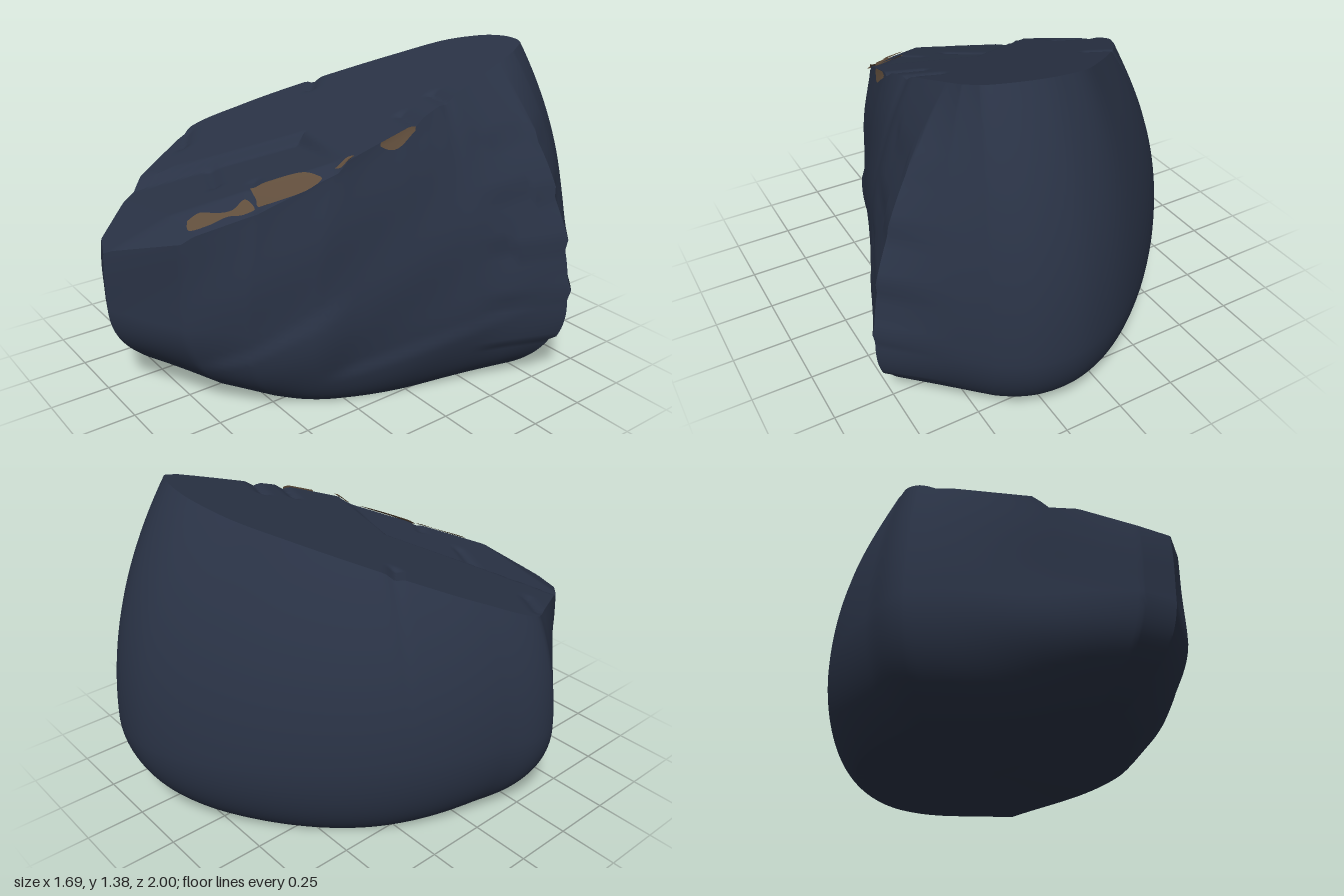
import * as THREE from 'three';
import { toCreasedNormals } from 'three/addons/utils/BufferGeometryUtils.js';

// Meridians around the boulder: widest point x, z, then top rim point x, z
const MERIDIANS = [
  [0.22, -1, 0.2, -0.69], [0.38, -0.98, 0.33, -0.68], [0.52, -0.9, 0.42, -0.64],
  [0.67, -0.75, 0.45, -0.57], [0.84, -0.58, 0.46, -0.48], [0.76, -0.38, 0.47, -0.35],
  [0.6, 0.05, 0.49, -0.02], [0.45, 0.42, 0.43, 0.3], [0.32, 0.65, 0.31, 0.58],
  [0.15, 0.83, 0.145, 0.82], [-0.19, 1, -0.19, 0.99], [-0.32, 0.95, -0.32, 0.94],
  [-0.5, 0.72, -0.51, 0.7], [-0.84, 0.32, -0.75, 0.28], [-0.8, 0.08, -0.65, 0.06],
  [-0.71, -0.18, -0.52, -0.12], [-0.57, -0.42, -0.36, -0.3], [-0.32, -0.7, -0.18, -0.48],
  [-0.08, -0.89, -0.02, -0.62], [0.08, -0.97, 0.1, -0.67],
];
const COUNT = MERIDIANS.length;
const SUB = 16;
const BELLY = 0.38;
const { lerp, smoothstep } = THREE.MathUtils;

const loop = (k) => new THREE.CatmullRomCurve3(
  MERIDIANS.map((m) => new THREE.Vector3(m[k], 0, m[k + 1])), true);
const bellyLoop = loop(0);
const rimLoop = loop(2);

// Point on a loop: straight between the chipped corners, curved round the back
function around(curve, u) {
  const i = Math.floor(u) % COUNT;
  if (i >= 2 && i <= 12) {
    const p = curve.points;
    return p[i].clone().lerp(p[(i + 1) % COUNT], u - Math.floor(u));
  }
  return curve.getPoint((u % COUNT) / COUNT);
}

// Cracks in the top: x, z of both ends, depth
const CRACKS = [
  [-0.26, 0.46, -0.06, 0.55, 0.012], [-0.5, -0.26, -0.37, -0.14, 0.016],
  [0.12, 0.48, 0.28, 0.57, 0.008], [-0.7, 0.33, -0.58, 0.41, 0.016],
  [0.36, -0.22, 0.5, -0.18, 0.016], [0.36, -0.06, 0.5, -0.02, 0.016],
];
function crackDepth(x, z) {
  let depth = 0;
  for (const [ax, az, bx, bz, d] of CRACKS) {
    const dx = bx - ax, dz = bz - az;
    const t = THREE.MathUtils.clamp(((x - ax) * dx + (z - az) * dz) / (dx * dx + dz * dz), 0, 1);
    const dist = Math.hypot(x - ax - t * dx, z - az - t * dz);
    depth += d * Math.exp(-((dist / 0.022) ** 2));
  }
  return depth;
}

// Sloping top: an upper slab broken off along a bent line above a lower slab,
// which is bevelled towards its front and right edges
function topHeight(x, z) {
  const edge = x < 0 ? 0.17 - 0.96 * x : 0.17 + 0.24 * x;
  const slope = x < 0 ? 1.39 : 1.03;
  const upper = 1.09 + 0.127 * x - 0.36 * z;
  const lower = 1.035 + 0.2 * x - 0.285 * z - 0.35 * Math.max(0, z - 0.78)
    - 0.42 * Math.max(0, 0.8 * x + 0.6 * z - 0.46);
  return lerp(upper, lower, smoothstep((z - edge) / slope, -0.02, 0.025)) - crackDepth(x, z);
}

const bezier = (a, b, c, t) => a * (1 - t) ** 2 + 2 * b * t * (1 - t) + c * t * t;
const cubic = (a, b, c, d, t) => a * (1 - t) ** 3 + 3 * b * t * (1 - t) ** 2
  + 3 * c * t * t * (1 - t) + d * t ** 3;

// Broken stone relief, strongest on the front and right, none at the back
function relief(p, fade) {
  const mask = smoothstep(p.z + 0.9 * p.x, -0.3, 0.2) * fade;
  let d = 0.007 * Math.sin(9 * p.z + 7 * p.y + 2) * Math.sin(8 * p.y - 5 * p.x + 1);
  // Two slanting ledges on the right side
  const ledge = (y) => 1 - smoothstep(p.y, y - 0.04, y + 0.02);
  const front = smoothstep(p.z, 0.25, 0.4);
  const right = smoothstep(p.x, 0.1, 0.25);
  d += right * 0.014 * (front * ledge(0.71 - 0.64 * p.z)
    + (1 - front) * ledge(0.27 - 0.3 * p.z) - 0.5);
  // Stepped chips down the right-hand ridge
  const ridge = smoothstep(p.x, 0.45, 0.55) * smoothstep(-p.z, 0.2, 0.35);
  d += 0.022 * ridge * (0.3 - ((p.y * 4.6 + 0.1) % 1));
  return d * mask;
}

// Skin of the side: v from 0 (ground) through 1 (widest) to 2 (rim)
function side(u, v, offset = 0) {
  const belly = around(bellyLoop, u);
  const rim = around(rimLoop, u);
  const p = new THREE.Vector3();
  if (v <= 1) {
    // Foot: the outline drawn in and rounded towards an oval
    const f = 0.73 - 0.2 * smoothstep(belly.z, 0.45, 1);
    const a = Math.atan2(belly.z, belly.x);
    const footX = lerp(belly.x * f, 0.61 * Math.cos(a), 0.3);
    const footZ = lerp(belly.z * f, 0.64 * Math.sin(a) - 0.1, 0.3);
    const s = cubic(0, 0.55, 0.97, 1, v);
    p.set(lerp(footX, belly.x, s), cubic(0, 0.06, 0.2, BELLY, v), lerp(footZ, belly.z, s));
  } else {
    const t = v - 1;
    const h = topHeight(rim.x, rim.z);
    p.set(bezier(belly.x, belly.x, rim.x, t), bezier(BELLY, lerp(BELLY, h, 0.52), h, t),
      bezier(belly.z, belly.z, rim.z, t));
  }
  const fade = v > 0 && v < 2 ? Math.sin(Math.PI * v / 2) ** 0.5 : 0;
  const k = 1 + (relief(p, fade) + offset) / Math.hypot(p.x, p.z);
  return p.set(p.x * k, p.y + offset * 0.5, p.z * k);
}

// Indexed skin from rows of points; closed skins end in a single point
function skin(rows, closed) {
  const n = rows[0].length;
  const index = [];
  for (let j = 0; j < rows.length - 1; j++) {
    for (let i = 0; i < (closed ? n : n - 1); i++) {
      const a = j * n + i, b = j * n + (i + 1) % n;
      const c = a + n, d = b + n;
      if (!closed || j > 0) index.push(a, d, b);
      if (!closed || j < rows.length - 2) index.push(a, c, d);
    }
  }
  const geometry = new THREE.BufferGeometry().setFromPoints(rows.flat());
  geometry.setIndex(index);
  return geometry;
}

function boulderGeometry() {
  const us = Array.from({ length: COUNT * SUB }, (_, i) => i / SUB);
  const rows = [us.map(() => new THREE.Vector3())];
  for (let j = 0; j <= 44; j++) rows.push(us.map((u) => side(u, j / 22)));
  const rim = rows[rows.length - 1];
  const TOP = 70;
  for (let j = 1; j <= TOP; j++) {
    const s = 1 - j / TOP;
    rows.push(rim.map((p) => {
      const x = p.x * s, z = p.z * s;
      return new THREE.Vector3(x, topHeight(x, z), z);
    }));
  }
  return toCreasedNormals(skin(rows, true), 0.7);
}

// Flat mineral stain draped over the top; outline given as x, z
function stainGeometry(outline) {
  const shape = new THREE.Shape();
  shape.setFromPoints(new THREE.SplineCurve(
    [...outline, outline[0]].map(([x, z]) => new THREE.Vector2(x, -z))).getPoints(50));
  const geometry = new THREE.ShapeGeometry(shape);
  geometry.rotateX(-Math.PI / 2);
  const pos = geometry.attributes.position;
  for (let i = 0; i < pos.count; i++) {
    pos.setY(i, topHeight(pos.getX(i), pos.getZ(i)) + 0.009);
  }
  geometry.computeVertexNormals();
  return geometry;
}

export function createModel() {
  const stone = new THREE.MeshStandardMaterial({ color: 0x2a3346 });
  stone.name = 'slate blue stone';
  const ochre = new THREE.MeshStandardMaterial({ color: 0x614e3c, side: THREE.DoubleSide });
  ochre.name = 'ochre mineral';
  const group = new THREE.Group();
  group.name = 'boulder';
  const add = (name, geometry, material) => {
    const mesh = new THREE.Mesh(geometry, material);
    mesh.name = name;
    group.add(mesh);
  };

  add('stone', boulderGeometry(), stone);

  // Mineral stains along the right edge of the top
  add('lowerStain', stainGeometry([[0.09, 0.76], [0.1, 0.71], [0.17, 0.67], [0.21, 0.63],
    [0.21, 0.575], [0.28, 0.575], [0.27, 0.62], [0.22, 0.66], [0.19, 0.72], [0.14, 0.78]]), ochre);
  add('middleStain', stainGeometry([[0.175, 0.53], [0.22, 0.47], [0.3, 0.38], [0.37, 0.355],
    [0.405, 0.36], [0.395, 0.42], [0.35, 0.49], [0.29, 0.56], [0.24, 0.545]]), ochre);
  add('smallStain', stainGeometry([[0.405, 0.3], [0.425, 0.25], [0.445, 0.24],
    [0.435, 0.28]]), ochre);

  // Narrow stain wrapping over the rim
  const strip = [];
  for (let j = 0; j <= 4; j++) {
    strip.push(Array.from({ length: 13 }, (_, i) => {
      const width = 0.02 + 0.06 * Math.sin(Math.PI * i / 12);
      return side(6.02 + 0.45 * i / 12, 2 - width * (1 - j / 4), 0.009);
    }));
  }
  const stripGeometry = skin(strip, false);
  stripGeometry.computeVertexNormals();
  add('rimStain', stripGeometry, ochre);
  return group;
}
